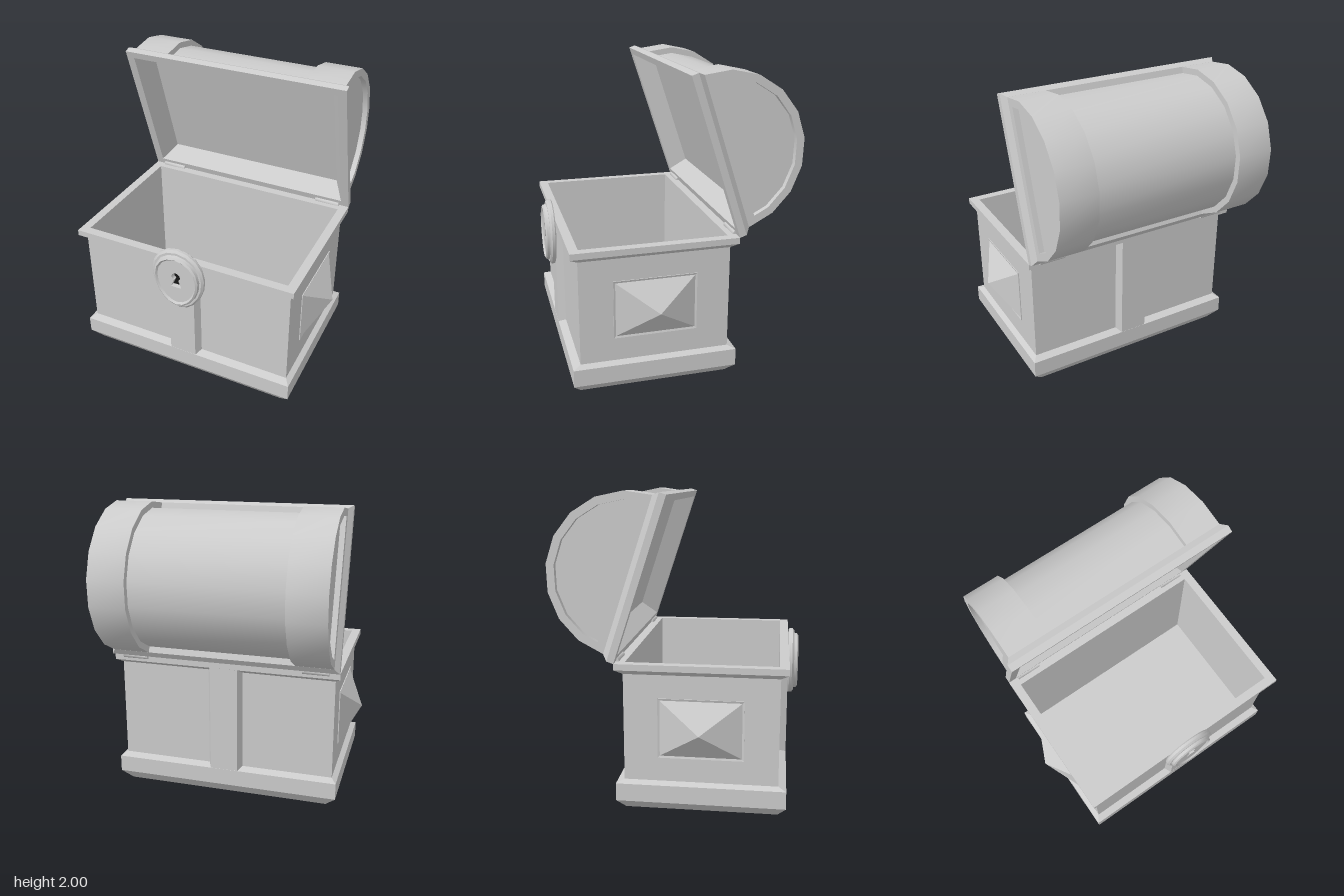
import * as THREE from 'three';
import { toCreasedNormals } from 'three/addons/utils/BufferGeometryUtils.js';

const grey = new THREE.MeshStandardMaterial({ color: 0xcccccc });
const dark = new THREE.MeshStandardMaterial({ color: 0x151515 });

function add(parent, name, geometry, material = grey) {
  const mesh = new THREE.Mesh(geometry, material);
  mesh.name = name;
  parent.add(mesh);
  return mesh;
}

// Skin between successive rings of points, with optional flat ends
function loft(rings, capStart = false, capEnd = false) {
  const pos = [];
  const tri = (...pts) => pts.forEach((p) => pos.push(p.x, p.y, p.z));
  const n = rings[0].length;
  for (let r = 0; r + 1 < rings.length; r++) {
    for (let i = 0; i < n; i++) {
      const j = (i + 1) % n, a = rings[r], b = rings[r + 1];
      tri(a[i], a[j], b[j]);
      tri(a[i], b[j], b[i]);
    }
  }
  const last = rings[rings.length - 1];
  for (let i = 1; i + 1 < n; i++) {
    if (capStart) tri(rings[0][0], rings[0][i + 1], rings[0][i]);
    if (capEnd) tri(last[0], last[i], last[i + 1]);
  }
  const g = new THREE.BufferGeometry();
  g.setAttribute('position', new THREE.Float32BufferAttribute(pos, 3));
  g.computeVertexNormals();
  return g;
}

// Loft of rectangles given as [half width, half depth, height]
const rectLoft = (profile, capStart, capEnd) => loft(profile.map(([w, d, y]) =>
  [[w, d], [w, -d], [-w, -d], [-w, d]].map(([x, z]) => new THREE.Vector3(x, y, z))), capStart, capEnd);

// Arc of the lid, nine facets from one side to the other
const ARC_Y = 0.08;
function arc(radius) {
  const pts = [];
  for (let i = 0; i <= 9; i++) {
    const a = (i / 9) * Math.PI;
    pts.push(new THREE.Vector2(Math.cos(a) * radius, ARC_Y + Math.sin(a) * radius));
  }
  return pts;
}

// Extrude a lid cross-section along x, centred on x = 0
function extrudeX(points, length) {
  const g = new THREE.ExtrudeGeometry(new THREE.Shape(points), { depth: length, bevelEnabled: false });
  g.translate(0, 0, -length / 2).rotateY(Math.PI / 2);
  return toCreasedNormals(g, Math.PI / 6);
}

// Egg outline of the lock, a little wider near the top
function egg(scale) {
  const pts = [];
  for (let i = 0; i < 18; i++) {
    const a = (i / 18) * Math.PI * 2 + Math.PI / 2, s = Math.sin(a);
    pts.push(new THREE.Vector2(Math.cos(a) * 0.187 * (1 + 0.12 * s) * scale, s * 0.228 * scale));
  }
  return pts;
}

function buildBody() {
  const body = new THREE.Group();
  body.name = 'body';
  body.position.z = 0.17;
  add(body, 'base', rectLoft([[0.71, 0.485, 0], [0.78, 0.535, 0.07], [0.78, 0.535, 0.185], [0.745, 0.485, 0.205]], true));
  add(body, 'walls', rectLoft([[0.745, 0.485, 0.205], [0.745, 0.485, 0.895]]));
  add(body, 'rim', rectLoft([[0.745, 0.485, 0.895], [0.78, 0.535, 0.925], [0.78, 0.535, 0.965], [0.72, 0.475, 0.965]]));
  add(body, 'interior', rectLoft([[0.72, 0.475, 0.965], [0.72, 0.475, 0.1]], false, true));

  // Chamfered posts in the middle of the front and back
  for (const side of [1, -1]) {
    const shape = new THREE.Shape([[-0.12, 0], [0.12, 0], [0.095, -0.05], [-0.095, -0.05]]
      .map(([x, y]) => new THREE.Vector2(x, y)));
    const g = new THREE.ExtrudeGeometry(shape, { depth: 0.74, bevelEnabled: false });
    g.rotateX(-Math.PI / 2).translate(0, 0.185, 0.484);
    if (side < 0) g.rotateY(Math.PI);
    add(body, side > 0 ? 'frontPost' : 'backPost', g);
  }

  // Pyramid studs on both ends
  for (const side of [1, -1]) {
    const g = rectLoft([[0.193, 0.27, 0], [0.193, 0.27, 0.007], [0.18, 0.257, 0.003], [0, 0, 0.13]]);
    const stud = add(body, side > 0 ? 'leftStud' : 'rightStud', g);
    stud.rotation.z = -side * Math.PI / 2;
    stud.position.set(side * 0.744, 0.553, 0);
  }
  return body;
}

function buildLid() {
  const lid = new THREE.Group();
  lid.name = 'lid';
  const shell = new THREE.Group();
  shell.name = 'lidShell';
  shell.position.z = 0.535;
  lid.add(shell);
  // Tapered lining, rim and ledge
  add(shell, 'lidLining', rectLoft([[0.65, 0.431, 0.13], [0.725, 0.4875, 0]], true));
  add(shell, 'lidRim', rectLoft([[0.725, 0.4875, 0], [0.78, 0.535, 0], [0.78, 0.535, 0.045],
    [0.75, 0.506, 0.082], [0.7, 0.453, 0.082]]));

  // Barrel top, notched underneath to clear the lining
  const notch = [[-0.456, ARC_Y], [-0.44, 0.133], [0.44, 0.133], [0.456, ARC_Y]].map(([x, y]) => new THREE.Vector2(x, y));
  add(shell, 'barrel', extrudeX([...arc(0.465), ...notch], 1.43));

  // Raised bands and end sills
  for (const side of [1, -1]) {
    const band = add(shell, 'band', extrudeX([...arc(0.506), ...arc(0.456).reverse()], 0.25));
    band.position.x = side * 0.625;
    const sill = add(shell, 'endSill', new THREE.BoxGeometry(0.05, 0.055, 0.96));
    sill.position.set(side * 0.725, 0.1075, 0);
  }

  // Swing open about the back edge
  lid.position.set(0, 0.965, -0.365);
  lid.rotation.x = -THREE.MathUtils.degToRad(71.8);
  return lid;
}

function buildLock() {
  const lock = new THREE.Group();
  lock.name = 'lock';
  lock.position.set(0, 0.828, 0);
  const rings = [[0.704, 0.97], [0.712, 1], [0.73, 1], [0.743, 0.93], [0.743, 0.86], [0.762, 0.84], [0.77, 0.78], [0.757, 0.72]]
    .map(([z, s]) => egg(s).map((p) => new THREE.Vector3(p.x, p.y, z)));
  add(lock, 'lockCase', toCreasedNormals(loft(rings, true), Math.PI / 6));

  // Face plate with a keyhole cut through it
  const face = new THREE.Shape(egg(0.73));
  const hole = new THREE.Path();
  hole.moveTo(-0.037, -0.045);
  hole.lineTo(-0.014, 0.012);
  hole.absarc(0, 0.036, 0.03, Math.PI * 1.3, -Math.PI * 0.3, true);
  hole.lineTo(0.037, -0.045);
  hole.closePath();
  face.holes.push(hole);
  const plate = new THREE.ExtrudeGeometry(face, { depth: 0.035, bevelEnabled: false, curveSegments: 10 });
  add(lock, 'lockFace', plate.translate(0, 0, 0.723));
  const back = add(lock, 'keyholeBack', new THREE.PlaneGeometry(0.1, 0.13), dark);
  back.position.set(0, 0.01, 0.726);
  return lock;
}

export function createModel() {
  const model = new THREE.Group();
  model.name = 'chest';
  model.add(buildBody(), buildLid(), buildLock());
  // Hinge barrels along the back edge
  for (const side of [1, -1]) {
    const hinge = add(model, side > 0 ? 'leftHinge' : 'rightHinge',
      toCreasedNormals(new THREE.CylinderGeometry(0.022, 0.022, 0.175, 8).rotateZ(Math.PI / 2), Math.PI / 3));
    hinge.position.set(side * 0.622, 0.967, -0.366);
  }
  return model;
}
